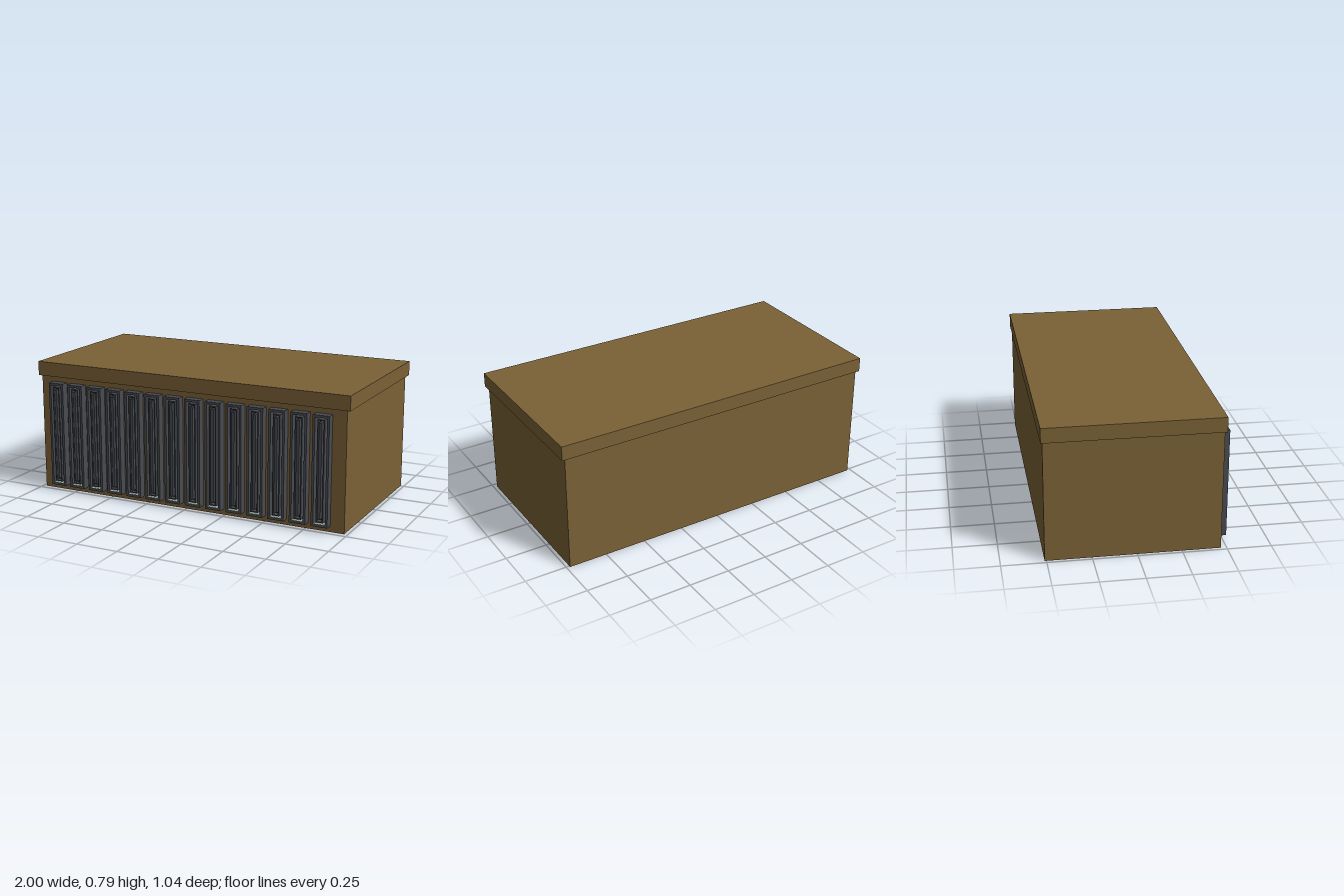
import * as THREE from 'three';

const mat = (name, color) => {
  const m = new THREE.MeshStandardMaterial({ color });
  m.name = name;
  return m;
};

// Box given by its min and max along each axis
function box(name, material, [x0, x1], [y0, y1], [z0, z1]) {
  const mesh = new THREE.Mesh(new THREE.BoxGeometry(x1 - x0, y1 - y0, z1 - z0), material);
  mesh.position.set((x0 + x1) / 2, (y0 + y1) / 2, (z0 + z1) / 2);
  mesh.name = name;
  return mesh;
}

// Upright rectangular frame with an open middle, extruded along z
function frame(name, material, halfW, [y0, y1], rim, [z0, z1]) {
  const rect = (P, w, a, b) => {
    const p = new P();
    p.moveTo(-w, a);
    p.lineTo(w, a);
    p.lineTo(w, b);
    p.lineTo(-w, b);
    p.closePath();
    return p;
  };
  const shape = rect(THREE.Shape, halfW, y0, y1);
  shape.holes.push(rect(THREE.Path, halfW - rim, y0 + rim, y1 - rim));
  const mesh = new THREE.Mesh(
    new THREE.ExtrudeGeometry(shape, { depth: z1 - z0, bevelEnabled: false }), material);
  mesh.position.z = z0;
  mesh.name = name;
  return mesh;
}

export function createModel() {
  const brown = mat('brown casing', 0x7a6136);
  const grey = mat('dark grey', 0x484b51);
  const pale = mat('pale green grey', 0xa9bbad);
  const black = mat('near black', 0x17191a);

  const model = new THREE.Group();
  model.name = 'slottedCase';

  // Casing and overhanging lid
  model.add(box('body', brown, [-0.98, 0.98], [0, 0.70], [-0.51, 0.468]));
  model.add(box('lid', brown, [-1, 1], [0.70, 0.785], [-0.52, 0.477]));

  // Row of tall connector slots along the front
  const count = 14;
  for (let i = 0; i < count; i++) {
    const slot = new THREE.Group();
    slot.name = 'slot' + (i + 1);
    slot.position.x = -0.855 + (1.703 * i) / (count - 1);
    slot.add(frame('slotFrame', grey, 0.049, [0.035, 0.67], 0.014, [0.466, 0.515]));
    // Recessed floor and sill
    slot.add(box('slotFloor', pale, [-0.036, 0.036], [0.048, 0.657], [0.466, 0.475]));
    slot.add(box('slotSill', pale, [-0.035, 0.035], [0.047, 0.051], [0.47, 0.513]));
    // Inner housing with its contact gap and raised tongue
    slot.add(frame('innerHousing', grey, 0.022, [0.06, 0.646], 0.006, [0.47, 0.513]));
    slot.add(box('contactGap', black, [-0.017, 0.017], [0.065, 0.641], [0.475, 0.483]));
    slot.add(box('tongue', grey, [-0.009, 0.009], [0.08, 0.63], [0.478, 0.52]));
    model.add(slot);
  }
  return model;
}
